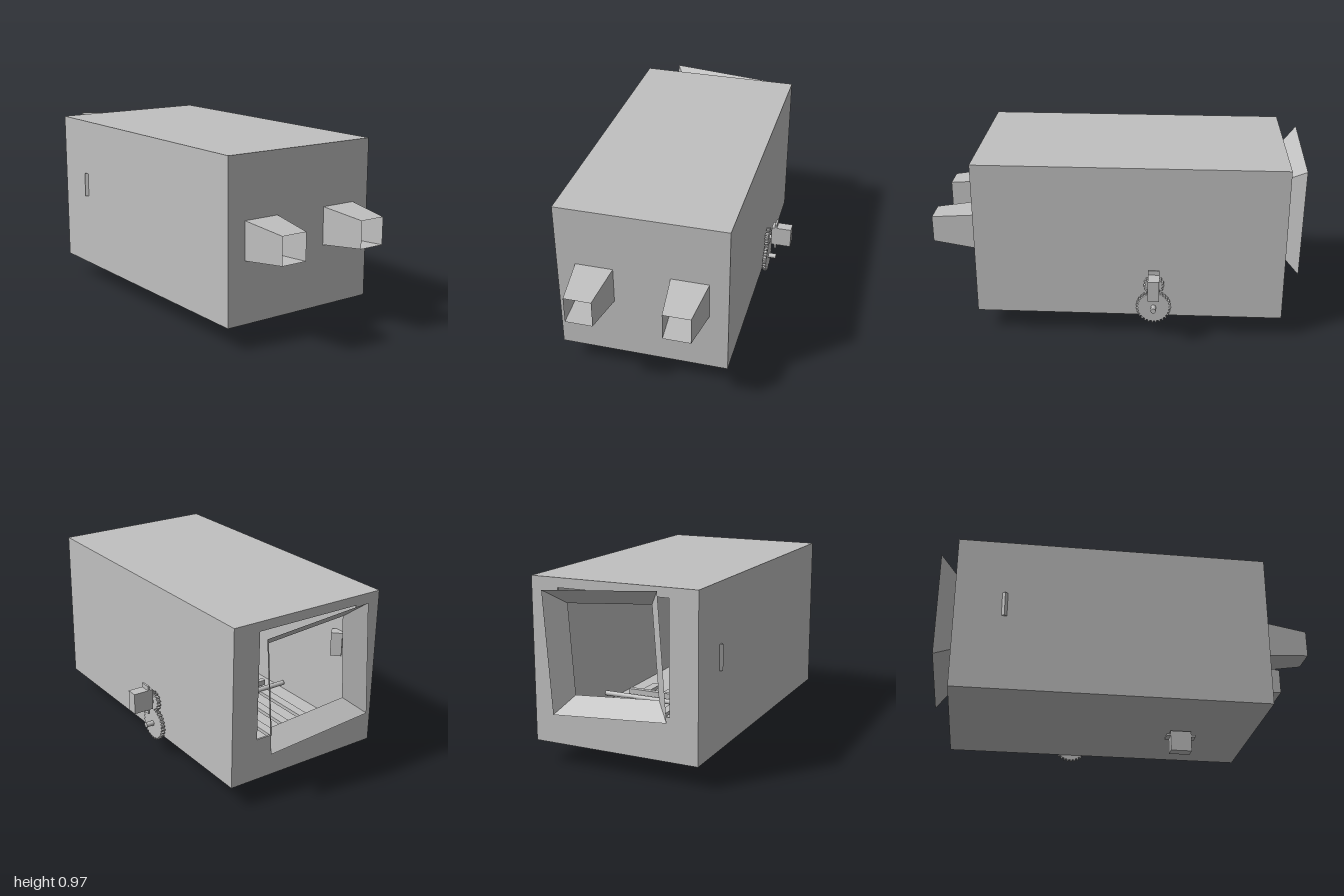
import * as THREE from 'three';

const grey = new THREE.MeshStandardMaterial({ color: 0xc0c0c0, side: THREE.DoubleSide });
grey.name = 'plain grey';

function add(parent, name, geometry, x = 0, y = 0, z = 0) {
  const mesh = new THREE.Mesh(geometry, grey);
  mesh.name = name;
  mesh.position.set(x, y, z);
  parent.add(mesh);
  return mesh;
}

const box = (w, h, d) => new THREE.BoxGeometry(w, h, d);

// Open square funnel along z, given the half widths of its two ends
function squareFunnel(frontHalf, backHalf, length) {
  const g = new THREE.CylinderGeometry(frontHalf * Math.SQRT2, backHalf * Math.SQRT2, length, 4, 1, true)
    .rotateY(Math.PI / 4).rotateX(Math.PI / 2).toNonIndexed();
  g.computeVertexNormals();
  return g;
}

// Rod along x
const rod = (radius, length) => new THREE.CylinderGeometry(radius, radius, length, 24).rotateZ(Math.PI / 2);

// Spur gear whose axle lies along x
function gear(radius, depth, teeth, thickness) {
  const shape = new THREE.Shape();
  const step = (Math.PI * 2) / teeth;
  for (let i = 0; i < teeth; i++) {
    [[0, radius - depth], [0.45, radius - depth], [0.55, radius], [0.9, radius]].forEach(([t, r], k) => {
      const a = (i + t) * step;
      if (i + k === 0) shape.moveTo(r * Math.cos(a), r * Math.sin(a));
      else shape.lineTo(r * Math.cos(a), r * Math.sin(a));
    });
  }
  shape.closePath();
  return new THREE.ExtrudeGeometry(shape, { depth: thickness, bevelEnabled: false })
    .translate(0, 0, -thickness / 2).rotateY(Math.PI / 2);
}

// Small motor, output shaft pointing along -x, mounting tabs along y
function motor(name) {
  const g = new THREE.Group();
  g.name = name;
  add(g, 'motorBody', box(0.112, 0.114, 0.06));
  add(g, 'mountingTabs', box(0.011, 0.162, 0.06), -0.032);
  add(g, 'motorShaft', rod(0.013, 0.045), -0.076);
  return g;
}

export function createModel() {
  const model = new THREE.Group();
  model.name = 'feederBox';

  // Hollow housing: x -0.52..0.38, y 0.12..0.97, z -0.905..0.75
  const housing = new THREE.Group();
  housing.name = 'housing';
  model.add(housing);
  const cx = -0.07, cy = 0.545, cz = -0.0775, w = 0.9, h = 0.85, d = 1.655, t = 0.01;
  add(housing, 'roof', box(w, t, d), cx, 0.97 - t / 2, cz);
  add(housing, 'floor', box(w, t, d), cx, 0.12 + t / 2, cz);
  for (const s of [-1, 1]) {
    add(housing, 'sideWall', box(t, h - 2 * t, d), cx + s * (w - t) / 2, cy, cz);
  }
  add(housing, 'frontWall', box(w - 2 * t, h - 2 * t, t), cx, cy, 0.75 - t / 2);

  // Back wall with a square opening
  const wall = new THREE.Shape([[-0.51, 0.13], [0.37, 0.13], [0.37, 0.96], [-0.51, 0.96]]
    .map(p => new THREE.Vector2(...p)));
  wall.holes.push(new THREE.Path([[-0.37, 0.345], [-0.37, 0.92], [0.23, 0.92], [0.23, 0.345]]
    .map(p => new THREE.Vector2(...p))));
  add(housing, 'backWall', new THREE.ExtrudeGeometry(wall, { depth: t, bevelEnabled: false }), 0, 0, -0.905);

  // Two tapered front outlets
  for (const x of [-0.32, 0.18]) {
    add(model, 'frontOutlet', squareFunnel(0.072, 0.1, 0.25), x, 0.545, 0.875);
  }

  // Flared hopper at the back, turned slightly
  const hopper = add(model, 'backHopper', squareFunnel(0.23, 0.31, 0.095), -0.07, 0.636, -0.9525);
  hopper.rotation.z = -0.073;

  // Side drive: motor, small gear, large gear and shaft
  const drive = new THREE.Group();
  drive.name = 'sideDrive';
  model.add(drive);
  const sideMotor = motor('sideMotor');
  sideMotor.position.set(0.477, 0.341, -0.213);
  drive.add(sideMotor);
  // The output shaft sits below the motor's middle
  sideMotor.getObjectByName('motorShaft').position.y = -0.028;
  add(drive, 'smallGear', gear(0.055, 0.01, 15, 0.02), 0.396, 0.312, -0.213);
  add(drive, 'largeGear', gear(0.094, 0.01, 28, 0.02), 0.396, 0.18, -0.213);
  add(drive, 'driveShaft', rod(0.014, 0.94), -0.02, 0.18, -0.213);

  // Slats resting on the floor inside
  for (let i = 0; i < 5; i++) {
    add(model, 'conveyorSlat', box(0.05, 0.02, 0.9), 0.2 - i * 0.135, 0.165, -0.36);
  }
  add(model, 'slatCrossbar', box(0.62, 0.03, 0.03), -0.07, 0.2, -0.17);

  // Motor under the floor, shaft pointing up
  const lower = motor('lowerMotor');
  lower.rotation.z = -Math.PI / 2;
  const turn = new THREE.Group();
  turn.name = 'lowerMotorMount';
  turn.add(lower);
  turn.rotation.y = Math.PI / 2;
  turn.position.set(-0.07, 0.057, 0.347);
  model.add(turn);

  // Upright block inside, its corner showing through the side wall
  const block = add(model, 'sideBlock', box(0.06, 0.133, 0.06), -0.492, 0.596, -0.647);
  block.rotation.y = Math.PI / 4;

  return model;
}
